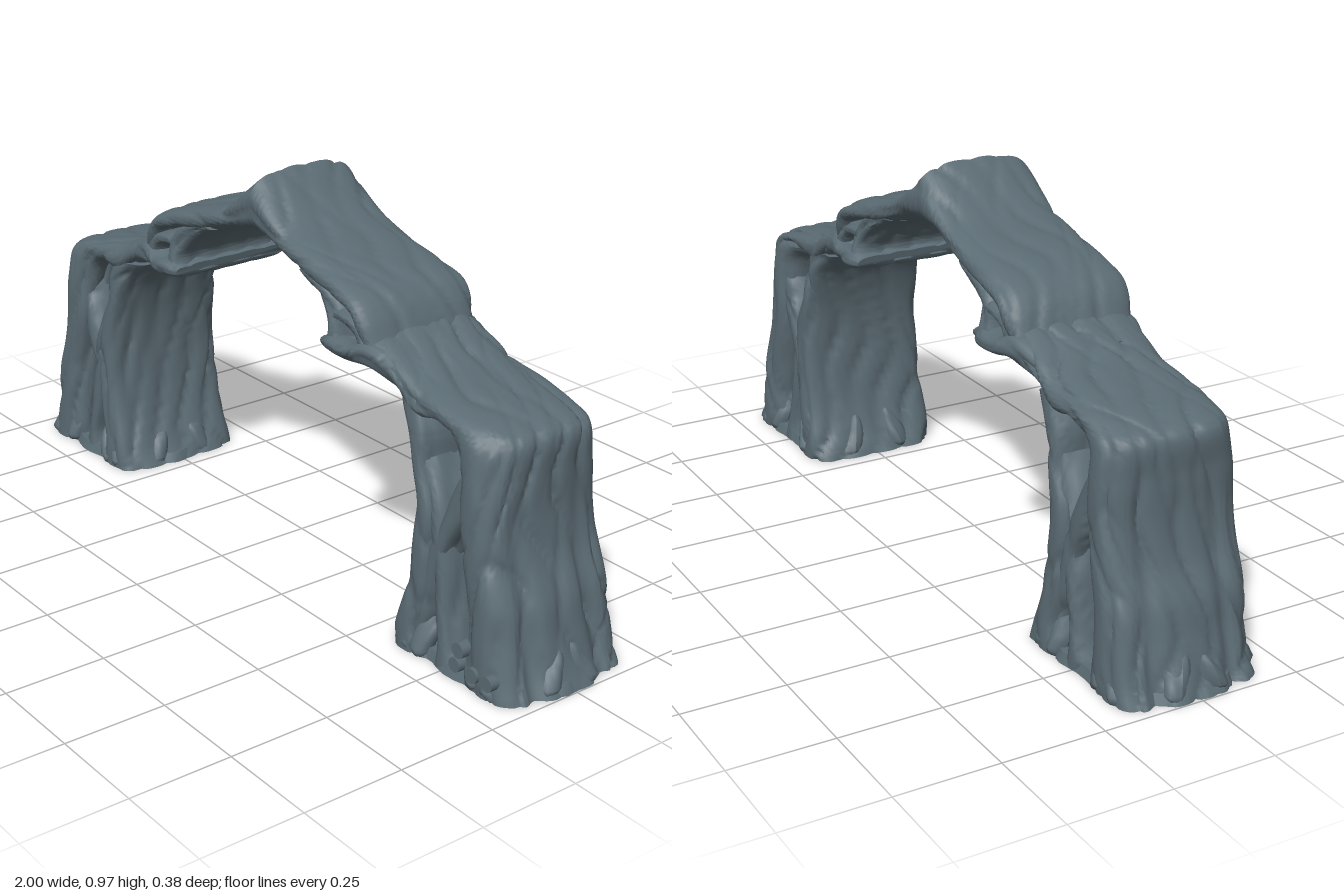
import * as THREE from 'three';
import { toCreasedNormals } from 'three/addons/utils/BufferGeometryUtils.js';

const stone = new THREE.MeshStandardMaterial({ color: 0x5b6b73 });
stone.name = 'slateBark';

// Bark relief: wandering grooves that run along the limb, plus shorter oblique cuts
function bark(z, p, s, seed) {
  const a = Math.abs(Math.sin(36 * z + 38 * p + 1.3 * Math.sin(7 * s + seed) + 0.6 * Math.sin(19 * s + 2 * seed + 12 * z)));
  const b = Math.abs(Math.sin(43 * z - 36 * p + 13 * s + 1.2 * Math.sin(13 * z + 9 * s + seed)));
  const patch = 0.5 + 0.5 * Math.sin(17 * s + 21 * z + seed * 3);
  return (1.2 - 0.7 * patch) * Math.pow(1 - a, 2.2) + 0.7 * patch * Math.pow(1 - b, 3) - 0.25;
}

// Evenly spaced points round a rounded square, from the outer face towards +z
function roundedSquare(a, n) {
  const b = a / 2, pts = [];
  for (let k = 0; k < a; k++) pts.push([1, -1 + (2 * k) / a]);
  for (let k = 0; k < b; k++) pts.push([1 - (2 * k) / b, 1]);
  for (const [u, v] of pts.slice()) pts.push([-u, -v]);
  return pts.map(([u, v]) => {
    const k = Math.pow(Math.abs(u) ** n + Math.abs(v) ** n, -1 / n);
    return [u * k, v * k];
  });
}

// Limb swept through stations [outerX, outerY, innerX, innerY, halfDepth]
function limb(name, stations, side, seed, { steps = 56, face = 20, squareness = 5, relief = 0.013, lobes = 0 } = {}) {
  const outer = new THREE.CatmullRomCurve3(stations.map(([x, y, , , h]) => new THREE.Vector3(x * side, y, h)));
  const inner = new THREE.CatmullRomCurve3(stations.map(([, , x, y]) => new THREE.Vector3(x * side, y, 0)));
  const section = roundedSquare(face, squareness), ring = section.length;
  const pos = [], index = [], centres = [];
  let s = 0, turn = 0;
  for (let i = 0; i <= steps; i++) {
    const o = outer.getPoint(i / steps), n = inner.getPoint(i / steps);
    const c = new THREE.Vector2((o.x + n.x) / 2, (o.y + n.y) / 2);
    const d = new THREE.Vector2(o.x - n.x, o.y - n.y), w = d.length() / 2;
    d.normalize();
    if (i) {
      const t = c.clone().sub(centres[i - 1]);
      s += t.length();
      turn += d.x * t.y - d.y * t.x;
    }
    centres.push(c);
    for (const [u, v] of section) {
      const cut = Math.min(relief, w * 0.3) * bark(v * o.z, u * w, s, seed);
      // deep furrows that part the outer face into three root lobes
      const furrow = lobes * Math.max(0, u) * Math.max(0, 1 - o.y / 0.55)
        * Math.exp(-(((Math.abs(v * o.z) - 0.1 + 0.03 * o.y) / 0.022) ** 2));
      const p = u * (w - cut) - furrow;
      pos.push(c.x + d.x * p, Math.max(0, c.y + d.y * p), v * (o.z - cut));
    }
  }
  const tri = (a, b, c) => (turn > 0 ? index.push(a, b, c) : index.push(a, c, b));
  for (let i = 0; i < steps; i++) for (let j = 0; j < ring; j++) {
    const a = i * ring + j, b = i * ring + (j + 1) % ring;
    tri(a, a + ring, b);
    tri(b, a + ring, b + ring);
  }
  // end caps
  for (const i of [0, steps]) {
    const m = pos.length / 3;
    pos.push(centres[i].x, centres[i].y, 0);
    for (let j = 0; j < ring; j++) {
      const a = i * ring + j, b = i * ring + (j + 1) % ring;
      i ? tri(m, b, a) : tri(m, a, b);
    }
  }
  const g = new THREE.BufferGeometry();
  g.setAttribute('position', new THREE.Float32BufferAttribute(pos, 3));
  g.setIndex(index);
  return named(name, toCreasedNormals(g, 1.2));
}

function named(name, geometry) {
  const mesh = new THREE.Mesh(geometry, stone);
  mesh.name = name;
  return mesh;
}

// Irregular sole joining the roots at the ground
function sole(side) {
  const g = new THREE.CylinderGeometry(0.95, 1, 0.025, 72, 1);
  const p = g.attributes.position;
  const sq = (v) => Math.sign(v) * Math.pow(Math.abs(v), 0.8);
  for (let i = 0; i < p.count; i++) {
    const x = p.getX(i), z = p.getZ(i), a = Math.atan2(z, x);
    const lump = Math.hypot(x, z) * (0.965 + 0.025 * Math.sin(9 * a + 1) + 0.015 * Math.sin(17 * a));
    p.setXYZ(i, 0.765 * side + sq(Math.cos(a)) * lump * 0.234, p.getY(i) + 0.0125, sq(Math.sin(a)) * lump * 0.185);
  }
  return named('sole', toCreasedNormals(g, 0.7));
}

// Knobbly root end: a lump that tapers upward and leans into the trunk
function toe(x, z, r, side) {
  const g = new THREE.SphereGeometry(r, 16, 14);
  const p = g.attributes.position;
  for (let i = 0; i < p.count; i++) {
    const k = 1 + 0.16 * Math.sin(p.getX(i) * 120 + z * 40) * Math.sin(p.getY(i) * 110 + p.getZ(i) * 80 + x * 30);
    const y = p.getY(i) > 0 ? p.getY(i) * 2.6 : p.getY(i);
    const lean = Math.max(0, y) * 0.3;
    p.setXYZ(i, side * (x - Math.sign(x - 0.765) * lean) + p.getX(i) * k,
      Math.max(0, 0.02 + y * k), z - Math.sign(z) * lean + p.getZ(i) * k);
  }
  g.computeVertexNormals();
  return named('rootToe', g);
}

const outerTrunk = [
  [0.995, 0, 0.785, 0, 0.183], [0.975, 0.04, 0.785, 0.04, 0.182], [0.95, 0.12, 0.795, 0.12, 0.18],
  [0.933, 0.2, 0.79, 0.2, 0.177], [0.9, 0.29, 0.77, 0.29, 0.174], [0.883, 0.38, 0.75, 0.38, 0.172],
  [0.878, 0.48, 0.745, 0.47, 0.169], [0.872, 0.568, 0.72, 0.53, 0.161], [0.82, 0.595, 0.70, 0.55, 0.155],
  [0.71, 0.619, 0.68, 0.565, 0.157], [0.6, 0.644, 0.61, 0.55, 0.157], [0.53, 0.67, 0.53, 0.6, 0.154],
  [0.46, 0.70, 0.44, 0.63, 0.15]];
const innerTrunk = [
  [0.54, 0, 0.71, 0, 0.182], [0.57, 0.06, 0.672, 0.06, 0.181], [0.6, 0.15, 0.69, 0.15, 0.177],
  [0.618, 0.27, 0.70, 0.27, 0.173], [0.62, 0.36, 0.695, 0.36, 0.171], [0.608, 0.45, 0.66, 0.45, 0.166],
  [0.58, 0.53, 0.655, 0.53, 0.16], [0.53, 0.59, 0.63, 0.61, 0.15]];
const crossOut = [
  [0.60, 0.03, 0.665, 0.02, 0.165], [0.64, 0.17, 0.71, 0.16, 0.166], [0.67, 0.29, 0.735, 0.27, 0.164],
  [0.71, 0.39, 0.785, 0.36, 0.162], [0.76, 0.5, 0.84, 0.47, 0.155]];
const crossIn = [
  [0.70, 0, 0.80, 0, 0.175], [0.715, 0.06, 0.773, 0.05, 0.172], [0.698, 0.14, 0.752, 0.14, 0.168],
  [0.68, 0.24, 0.74, 0.25, 0.165], [0.65, 0.35, 0.715, 0.37, 0.163], [0.62, 0.46, 0.66, 0.48, 0.155]];
const crown = [
  [0, 0.968, 0, 0.812, 0.153], [0.03, 0.943, 0.03, 0.811, 0.154], [0.08, 0.897, 0.08, 0.806, 0.155],
  [0.14, 0.859, 0.13, 0.795, 0.156], [0.25, 0.83, 0.22, 0.762, 0.158], [0.35, 0.801, 0.32, 0.745, 0.162],
  [0.41, 0.773, 0.395, 0.725, 0.166], [0.443, 0.738, 0.405, 0.70, 0.165], [0.47, 0.685, 0.42, 0.665, 0.155]];
const archRib = [
  [0.21, 0.80, 0.18, 0.78, 0.15], [0.32, 0.76, 0.25, 0.743, 0.153], [0.35, 0.725, 0.285, 0.712, 0.158],
  [0.352, 0.69, 0.305, 0.68, 0.166], [0.362, 0.65, 0.296, 0.64, 0.174]];
const ledge = [
  [0.292, 0.662, 0.298, 0.63, 0.17], [0.33, 0.674, 0.325, 0.622, 0.18], [0.39, 0.672, 0.38, 0.622, 0.182],
  [0.45, 0.69, 0.45, 0.621, 0.168], [0.54, 0.66, 0.53, 0.598, 0.15]];
const strut = [
  [0.325, 0.738, 0.325, 0.70, 0.158], [0.37, 0.733, 0.36, 0.70, 0.16], [0.42, 0.718, 0.395, 0.683, 0.16],
  [0.46, 0.67, 0.41, 0.65, 0.16]];

export function createModel() {
  const arch = new THREE.Group();
  arch.name = 'rootArch';
  const thin = { steps: 40, face: 16, squareness: 4, relief: 0.01 };
  for (const side of [1, -1]) {
    const half = new THREE.Group();
    half.name = side > 0 ? 'leftHalf' : 'rightHalf';
    const seed = side > 0 ? 1.3 : 4.1;
    half.add(
      limb('outerTrunkAndShoulder', outerTrunk, side, seed, { steps: 100, face: 32, squareness: 3, relief: 0.012, lobes: 0.024 }),
      limb('innerTrunk', innerTrunk, side, seed + 1, { squareness: 4, relief: 0.012 }),
      limb('crossingRootOut', crossOut, side, seed + 2, thin),
      limb('crossingRootIn', crossIn, side, seed + 3, thin),
      limb('crown', crown, side, 2.2, { steps: 72, face: 24, squareness: 2.9, relief: 0.007 }),
      limb('archRib', archRib, side, seed + 4, thin),
      limb('ledge', ledge, side, seed + 5, thin),
      limb('archStrut', strut, side, seed + 6, thin),
      sole(side));
    // root ends around the foot
    for (const z of [-1, 1]) {
      for (const [x, d, r] of [[0.905, 0.152, 0.036], [0.958, 0.05, 0.034], [0.845, 0.157, 0.03],
        [0.66, 0.157, 0.031], [0.62, 0.152, 0.034], [0.575, 0.07, 0.032]]) half.add(toe(x, z * d, r, side));
    }
    arch.add(half);
  }
  // short round studs on one foot
  for (const [x, y, r] of [[0.82, 0.088, 0.019], [0.81, 0.048, 0.018], [0.865, 0.046, 0.019], [0.915, 0.048, 0.018]]) {
    const stud = named('footStud', new THREE.CylinderGeometry(r, r, 0.05, 14));
    stud.rotation.x = Math.PI / 2;
    stud.position.set(x, y, 0.169);
    arch.add(stud);
  }
  return arch;
}
